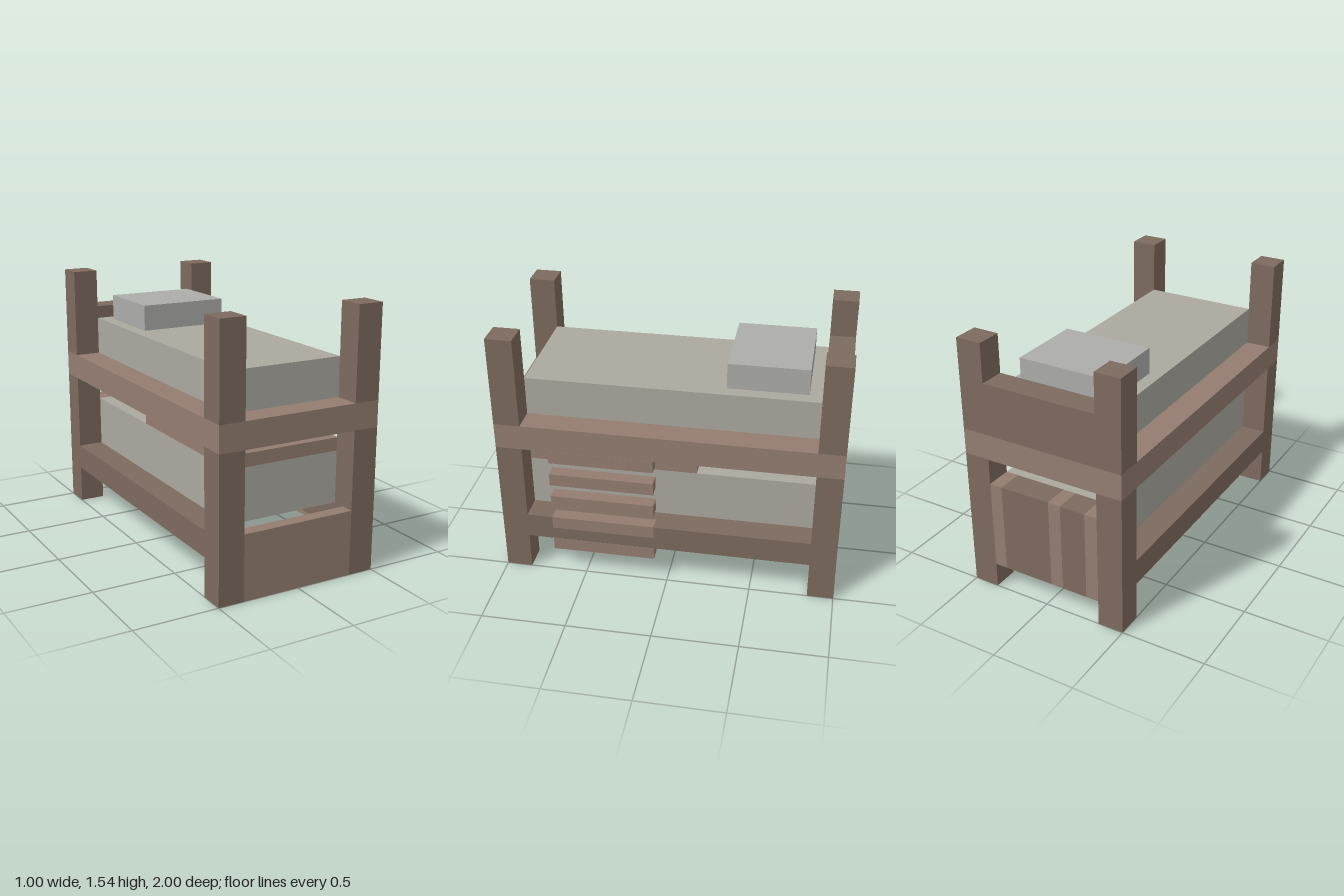
import * as THREE from 'three';

// One grid unit: the bed is 26 units long, 13 wide and 20 high.
const U = 2 / 26;

const material = (color) => new THREE.MeshStandardMaterial({ color, flatShading: true });

export function createModel() {
  const bed = new THREE.Group();
  bed.name = 'bunkBed';
  const darkWood = material(0x7d6a5f);
  const lightWood = material(0x947d71);
  const linen = material(0xaba89f);
  const cushion = material(0xacaca9);

  // Box given by its extents along x, y and z in grid units
  const box = (name, mat, [x0, x1], [y0, y1], [z0, z1]) => {
    const geometry = new THREE.BoxGeometry((x1 - x0) * U, (y1 - y0) * U, (z1 - z0) * U);
    const mesh = new THREE.Mesh(geometry, mat);
    mesh.name = name;
    mesh.position.set((x0 + x1) * U / 2, (y0 + y1) * U / 2, (z0 + z1) * U / 2);
    bed.add(mesh);
  };
  const inner = [-4.5, 4.5];

  // Corner posts, below and above the upper deck
  for (const x of [[4.5, 6.5], [-6.5, -4.5]]) {
    for (const z of [[11, 13], [-13, -11]]) {
      box('lowerPost', darkWood, x, [0, 11], z);
      box('upperPost', darkWood, x, [13, 20], z);
    }
    // Side rail of the lower bunk
    box('lowerSideRail', darkWood, x, [3, 5], [-11, 11]);
  }

  // Upper deck
  box('upperDeck', lightWood, [-6.5, 6.5], [11, 13], [-13, 13]);

  // End boards
  box('footboard', lightWood, inner, [0, 5], [12, 13]);
  box('upperHeadboard', darkWood, inner, [13, 17], [-13, -11]);

  // Lower headboard of upright planks in two tones
  const lightPlanks = [0, 3, 8];
  for (let i = 0; i < 9; i++) {
    const wood = lightPlanks.includes(i) ? lightWood : darkWood;
    box('headboardPlank', wood, [i - 4.5, i - 3.5], [2, 9], [-13, -11]);
  }

  // Bedding
  box('lowerMattress', linen, inner, [5, 9], [-11, 11]);
  box('blanket', lightWood, inner, [9, 10], [-2, 11]);
  box('upperMattress', linen, inner, [13, 16], [-11, 11]);
  for (const y of [9, 16]) box('pillow', cushion, [-3.5, 3.5], [y, y + 2], [-10, -4]);

  // Ladder rungs on the left side, a hair proud of the rails
  for (let y = 2; y <= 10; y += 2) {
    box('ladderRung', lightWood, [5.5, 6.52], [y, y === 4 ? 5.02 : y + 1], [1, 9]);
  }

  return bed;
}
